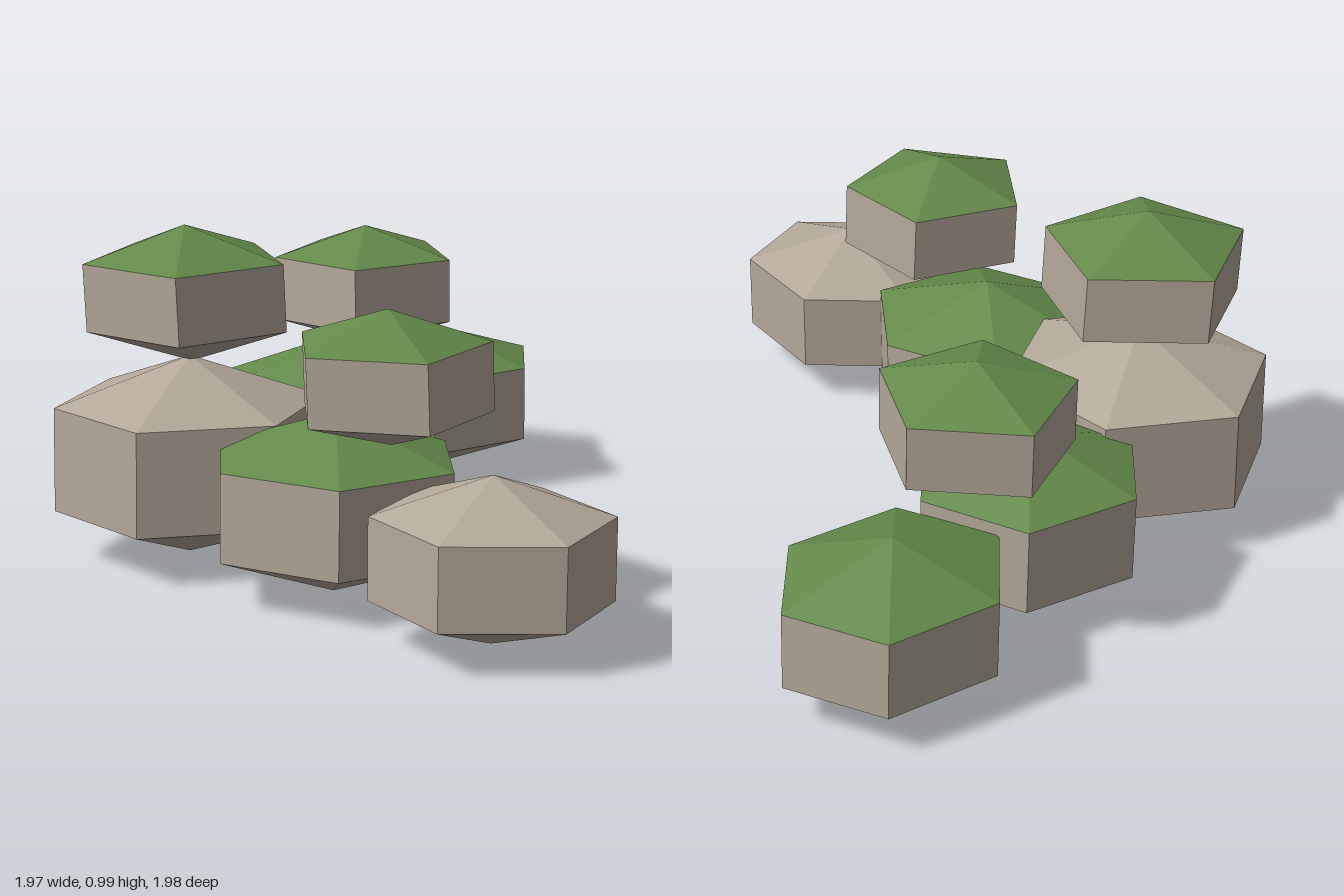
import * as THREE from 'three';

const stone = new THREE.MeshStandardMaterial({ color: 0xb3a899, flatShading: true });
const grass = new THREE.MeshStandardMaterial({ color: 0x648a4a, flatShading: true });

// One rock: prism walls with a shallow point below and above.
// at: centre [x, z]; size: radii [x, z]; turn: degrees of the first corner from +x towards +z;
// levels: heights of lower point, lower rim, upper rim, upper point; lean: sideways drift per unit of height
function rock({ name, sides, at, size, turn, levels, lean = [0, 0], mossy }) {
  const group = new THREE.Group();
  group.name = name;
  const [foot, low, high, peak] = levels;
  const middle = (foot + peak) / 2;
  const start = Math.PI / 2 - THREE.MathUtils.degToRad(turn);
  const shear = new THREE.Matrix4().makeShear(0, 0, lean[0], lean[1], 0, 0);

  const addPart = (partName, profile, material) => {
    const points = profile.map(([r, y]) => new THREE.Vector2(r, y - middle));
    const geometry = new THREE.LatheGeometry(points, sides, start);
    geometry.scale(size[0], 1, size[1]).applyMatrix4(shear);
    const mesh = new THREE.Mesh(geometry, material);
    mesh.name = partName;
    group.add(mesh);
  };
  addPart('rockBody', [[0, foot], [1, low], [1, high]], stone);
  addPart(mossy ? 'grassTop' : 'rockTop', [[1, high], [0, peak]], mossy ? grass : stone);

  group.position.set(at[0], middle, at[1]);
  return group;
}

const rocks = [
  // Lower row, an L of six-sided rocks
  { name: 'cornerRock', sides: 6, at: [-0.59, 0.58], size: [0.402, 0.395], turn: 7.5, levels: [0.005, 0.15, 0.46, 0.6], lean: [0.01, -0.02] },
  { name: 'leftMiddleRock', sides: 6, at: [-0.645, -0.02], size: [0.34, 0.36], turn: -10.5, levels: [0, 0.14, 0.4, 0.53], mossy: true },
  { name: 'backRock', sides: 6, at: [-0.675, -0.645], size: [0.315, 0.36], turn: -13, levels: [0.01, 0.125, 0.36, 0.475], mossy: true },
  { name: 'frontMiddleRock', sides: 6, at: [0.01, 0.605], size: [0.385, 0.355], turn: -12, levels: [0.005, 0.14, 0.4, 0.53], lean: [0.03, 0], mossy: true },
  { name: 'frontEndRock', sides: 6, at: [0.65, 0.685], size: [0.345, 0.315], turn: 18, levels: [0.005, 0.125, 0.36, 0.475], lean: [0.02, 0] },
  // Upper, five-sided rocks
  { name: 'cornerUpperRock', sides: 5, at: [-0.6, 0.562], size: [0.305, 0.305], turn: -21.5, levels: [0.58, 0.685, 0.885, 0.985], lean: [-0.025, 0.02], mossy: true },
  { name: 'leftUpperRock', sides: 5, at: [-0.655, -0.277], size: [0.29, 0.285], turn: -17, levels: [0.485, 0.575, 0.77, 0.86], lean: [-0.03, -0.03], mossy: true },
  { name: 'frontUpperRock', sides: 5, at: [0.262, 0.652], size: [0.285, 0.285], turn: 27.5, levels: [0.485, 0.575, 0.77, 0.865], lean: [-0.02, 0.01], mossy: true },
];

export function createModel() {
  const model = new THREE.Group();
  model.name = 'rockCluster';
  for (const spec of rocks) model.add(rock(spec));
  return model;
}
